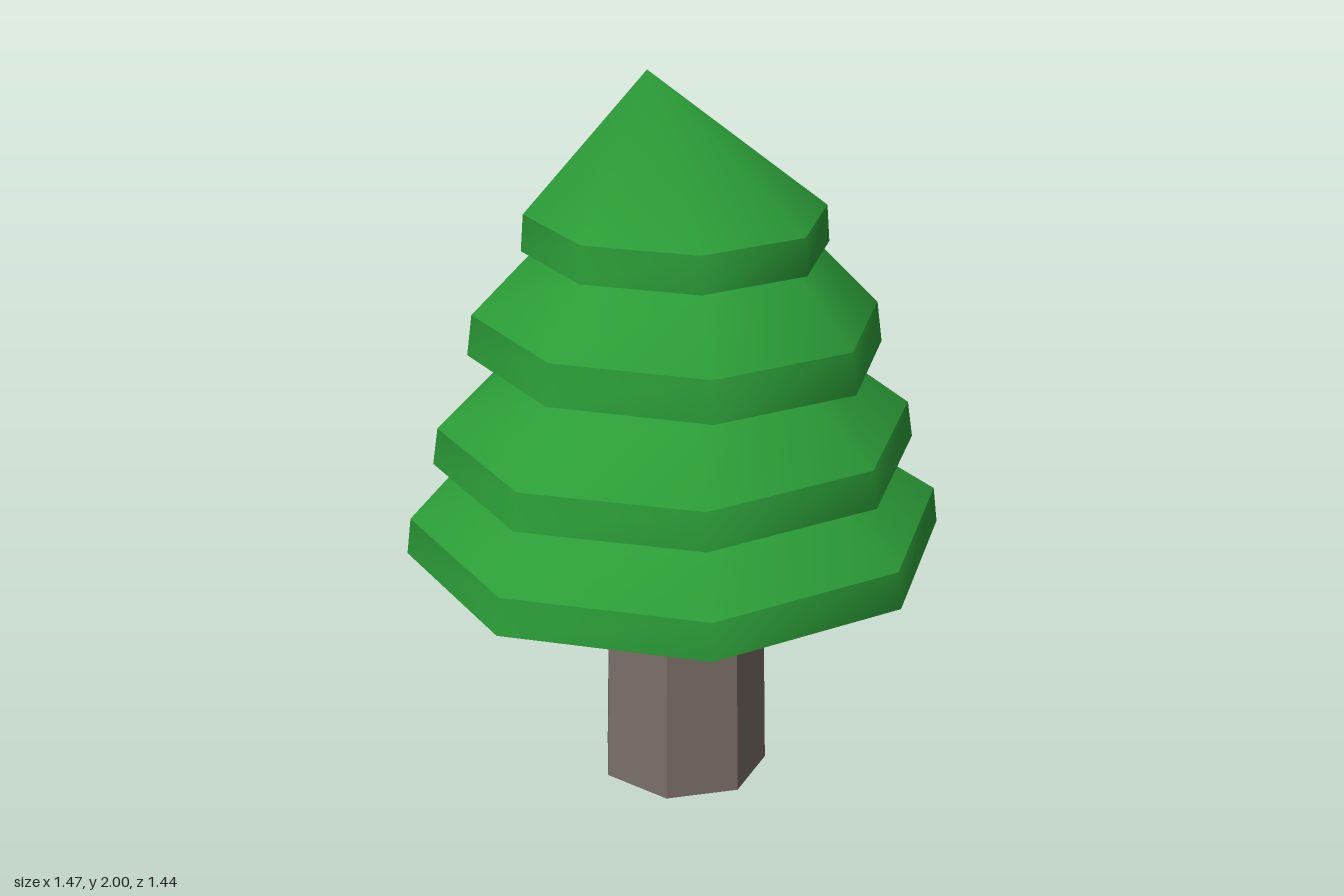
import * as THREE from 'three';
import { mergeVertices } from 'three/addons/utils/BufferGeometryUtils.js';

const leafMaterial = new THREE.MeshStandardMaterial({ color: 0x2b9c37 });
const barkMaterial = new THREE.MeshStandardMaterial({ color: 0x7a6e68, flatShading: true });

// Open eight-sided band between two [y, rx, rz] rings, smooth all the way round
function band(lower, upper, topShift = [0, 0]) {
  const geometry = new THREE.CylinderGeometry(1, 1, 1, 8, 1, true);
  const p = geometry.attributes.position;
  for (let i = 0; i < p.count; i++) {
    const top = p.getY(i) > 0;
    const [y, rx, rz] = top ? upper : lower;
    const [sx, sz] = top ? topShift : [0, 0];
    p.setXYZ(i, p.getX(i) * rx + sx, y, p.getZ(i) * rz + sz);
  }
  geometry.deleteAttribute('normal');
  geometry.deleteAttribute('uv');
  const merged = mergeVertices(geometry);
  merged.computeVertexNormals();
  return merged;
}

function addMesh(parent, name, geometry, material) {
  const mesh = new THREE.Mesh(geometry, material);
  mesh.name = name;
  parent.add(mesh);
  return mesh;
}

export function createModel() {
  const tree = new THREE.Group();
  tree.name = 'tree';

  // Seven-sided tapered trunk, standing slightly off centre
  const trunk = addMesh(tree, 'trunk',
    new THREE.CylinderGeometry(0.216, 0.231, 0.7, 7, 1, false, Math.PI / 2), barkMaterial);
  trunk.position.set(0.029, 0.35, 0);
  trunk.scale.z = 1.03;

  // Each tier: underside ring, rim ring and top ring as [y, rx, rz]
  const tiers = [
    [[0.7, 0.735, 0.72], [0.8, 0.722, 0.708], [0.957, 0.487, 0.475]],
    [[0.957, 0.66, 0.637], [1.057, 0.645, 0.622], [1.247, 0.385, 0.385]],
    [[1.247, 0.53, 0.565], [1.357, 0.516, 0.55], [1.527, 0.357, 0.38]],
    [[1.527, 0.392, 0.41], [1.625, 0.385, 0.402], [2, 0, 0]],
  ];

  tiers.forEach(([base, rim, top], i) => {
    const tier = new THREE.Group();
    tier.name = `foliageTier${i + 1}`;
    tree.add(tier);

    addMesh(tier, 'rim', band(base, rim), leafMaterial);
    // The peak of the last tier leans a little to the side and back
    const lean = i === tiers.length - 1 ? [-0.08, -0.03] : [0, 0];
    addMesh(tier, 'slope', band(rim, top, lean), leafMaterial);

    const underside = addMesh(tier, 'underside', new THREE.CircleGeometry(1, 8), leafMaterial);
    underside.rotation.x = Math.PI / 2;
    underside.scale.set(base[1], base[2], 1);
    underside.position.y = base[0];
  });

  return tree;
}
